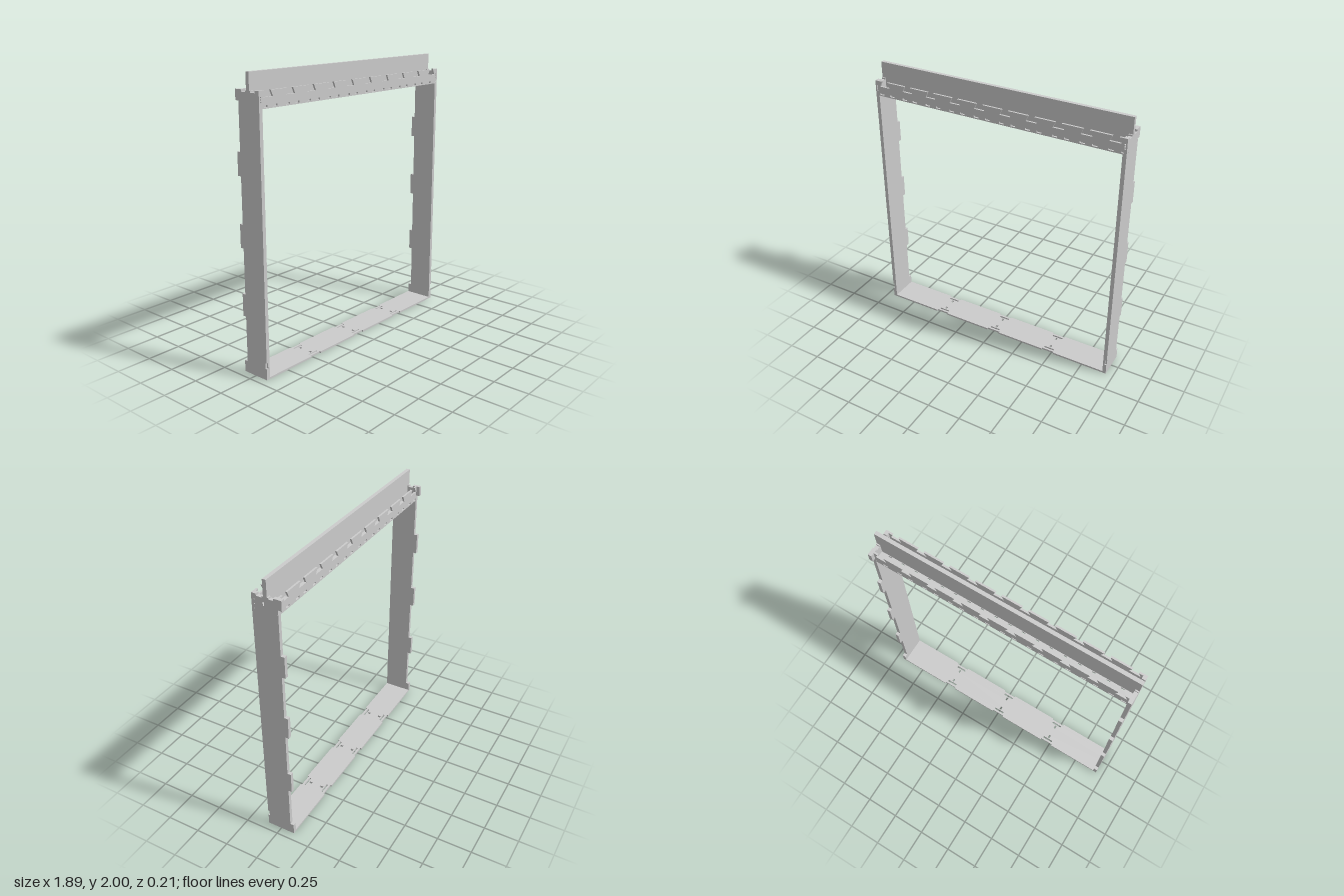
import * as THREE from 'three';

const T = 0.0133;              // sheet thickness
const W = 0.944;               // half width
const INNER = W - 2 * T;       // inner face of the posts
const FRONT = 0.104, BACK = -0.078, TAB = -0.104;
const mat = new THREE.MeshStandardMaterial({ color: 0xcccccc, flatShading: true });

const rect = (x0, y0, x1, y1) => [[x0, y0], [x1, y0], [x1, y1], [x0, y1]];
const toPath = (pts, Kind) => new Kind(pts.map(p => new THREE.Vector2(p[0], p[1])));
const round = (x, y, r) => new THREE.Path().absarc(x, y, r, 0, Math.PI * 2);

// Flat sheet cut from an outline with holes
function sheet(name, outline, holes, depth = T) {
  const shape = toPath(outline, THREE.Shape);
  shape.holes = holes.map(h => (Array.isArray(h) ? toPath(h, THREE.Path) : h));
  const geo = new THREE.ExtrudeGeometry(shape, { depth, bevelEnabled: false, curveSegments: 6 });
  const mesh = new THREE.Mesh(geo, mat);
  mesh.name = name;
  return mesh;
}

// Post layer drawn in (z, y); tabs along the back, notches for the sill tenons
function postLayer(name, x, outer) {
  const pts = [[TAB, 0]];
  for (const [a, b] of [[-0.045, 0], [0.03, 0.07]]) pts.push([a, 0], [a, T], [b, T], [b, 0]);
  pts.push([FRONT, 0]);
  if (outer) pts.push([FRONT, 0.08], [0.093, 0.08], [0.093, 0.12], [FRONT, 0.12]);
  pts.push([FRONT, 1.78], [FRONT - T, 1.78], [FRONT - T, 1.89], [0.07, 1.89], [0.07, 1.875],
    [0.03, 1.875], [0.03, 1.885], [0.021, 1.885], [0.021, 1.87], [-0.006, 1.87], [-0.006, 1.885],
    [-0.015, 1.885], [-0.015, 1.875], [-0.048, 1.875], [-0.048, 1.89], [TAB, 1.89], [TAB, 1.82]);
  for (const [top, bottom] of [[1.5, 1.345], [1.03, 0.87], [0.555, 0.4]])
    pts.push([BACK, top + 0.32 - (top === 1.5 ? 0 : 0.005)], [BACK, top], [TAB, top], [TAB, bottom]);
  pts.push([BACK, 0.4], [BACK, 0.08], [TAB, 0.08]);
  // keep the run between tabs straight along the back edge
  const clean = [];
  for (const p of pts) {
    const prev = clean[clean.length - 1];
    if (prev && p[0] === BACK && prev[0] === TAB) clean.push([BACK, prev[1]]);
    else clean.push(p);
  }
  const holes = [rect(0.017, 1.81, 0.035, 1.847)];
  for (const y of [1.79, 1.82, 1.85]) holes.push(round(0.083, y, 0.004), round(-0.06, y, 0.004));
  for (const z of [0.045, -0.015]) holes.push(rect(z - 0.007, 1.775, z + 0.007, 1.785));
  const flip = l => l.map(p => [-p[0], p[1]]);
  const flipped = holes.map(h => (Array.isArray(h) ? flip(h) : toPath(flip(h.getPoints(6).map(v => [v.x, v.y])), THREE.Path)));
  const mesh = sheet(name, flip(clean), flipped);
  mesh.rotation.y = Math.PI / 2;
  mesh.position.x = x;
  return mesh;
}

// Lintel wall with dovetail sockets along its top and mortises above its lower edge
function lintelWall(name, half, z) {
  const pts = [[-half, 1.78], [half, 1.78], [half, 1.89]];
  const holes = [];
  for (let i = 9; i >= 0; i--) {
    const c = (i - 4.5) * 0.1925;
    pts.push([c + 0.022, 1.89], [c + 0.04, 1.85], [c - 0.04, 1.85], [c - 0.022, 1.89]);
    for (const d of [-0.025, 0.06]) holes.push(rect(c + d - 0.018, 1.788, c + d + 0.018, 1.801));
  }
  pts.push([-half, 1.89]);
  if (half === W) for (const s of [-1, 1]) for (const y of [1.82, 1.835, 1.85]) holes.push(round(s * 0.93, y, 0.005));
  const mesh = sheet(name, pts, holes);
  mesh.position.z = z;
  return mesh;
}

// Horizontal sheet drawn in (x, z), top face at the given height
function flat(name, outline, holes, top) {
  const mesh = sheet(name, outline, holes);
  mesh.rotation.x = Math.PI / 2;
  mesh.position.y = top;
  return mesh;
}

export function createModel() {
  const model = new THREE.Group();

  // Two-layer side posts
  for (const [side, s] of [['left', 1], ['right', -1]]) {
    const post = new THREE.Group();
    post.name = side + 'Post';
    const lo = s > 0 ? INNER : -W;
    post.add(postLayer(side + 'PostLayerA', lo, s < 0), postLayer(side + 'PostLayerB', lo + T, s > 0));
    model.add(post);
  }

  // Sill with end tenons, shallow edge recesses and joint cutouts
  const sillPts = [], sillHoles = [];
  const edge = (z, s) => {
    for (const c of [-0.47, 0, 0.47]) {
      const x = -s * c, d = z - Math.sign(z) * 0.01;
      sillPts.push([s * c - s * 0.05, z], [s * c - s * 0.05, d], [s * c + s * 0.05, d], [s * c + s * 0.05, z]);
      sillHoles.push(rect(x - 0.04, z * 0.7 - 0.006, x + 0.04, z * 0.7 + 0.006),
        rect(x - 0.008, z * 0.45 - 0.012, x + 0.008, z * 0.45 + 0.012));
    }
  };
  sillPts.push([-INNER, TAB]);
  edge(TAB, 1);
  sillPts.push([INNER, TAB], [INNER, -0.045], [W, -0.045], [W, 0], [INNER, 0], [INNER, 0.03], [W, 0.03], [W, 0.07], [INNER, 0.07], [INNER, FRONT]);
  edge(FRONT, -1);
  sillPts.push([-INNER, FRONT], [-INNER, 0.07], [-W, 0.07], [-W, 0.03], [-INNER, 0.03], [-INNER, 0], [-W, 0], [-W, -0.045], [-INNER, -0.045]);
  model.add(flat('sill', sillPts, sillHoles, T));

  // Lintel channel: front and back walls joined by a slotted deck
  model.add(lintelWall('lintelFrontWall', W, FRONT - T), lintelWall('lintelBackWall', INNER, BACK));
  const slots = [];
  for (let i = 0; i < 18; i++) {
    const x = (i - 8.5) * 0.1;
    for (const z of [-0.014, 0.029]) slots.push(rect(x - 0.012, z - 0.004, x + 0.012, z + 0.004));
  }
  model.add(flat('lintelDeck', rect(-INNER, BACK + T, INNER, FRONT - T), slots, 1.801));

  // Upright centre panel, resting on the posts at both ends
  const panel = sheet('centrePanel', [[-INNER, 1.801], [INNER, 1.801], [INNER, 1.87], [W, 1.87], [W, 2],
    [-W, 2], [-W, 1.87], [-INNER, 1.87]], [], 2 * T);
  panel.position.z = -0.006;
  model.add(panel);
  return model;
}
